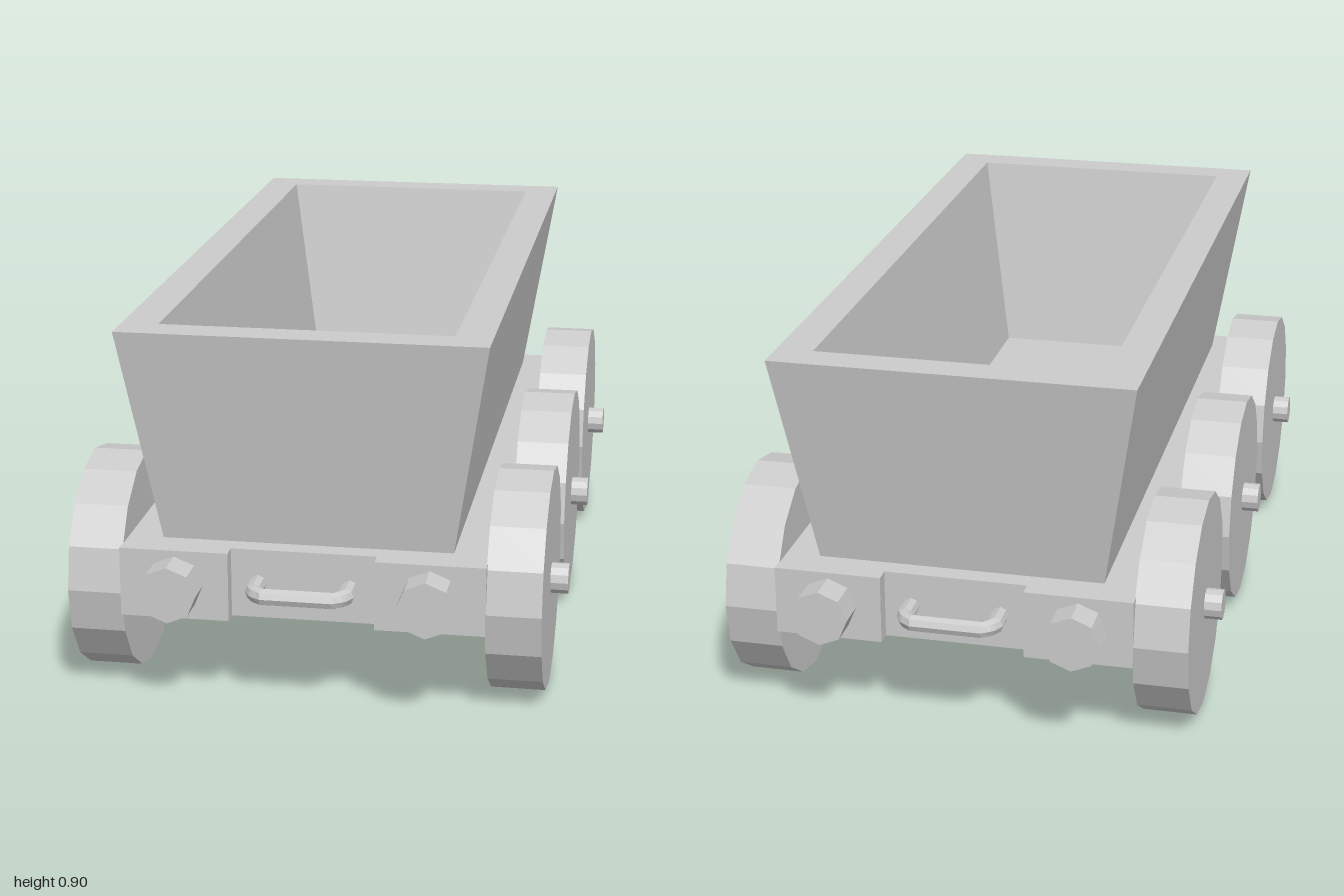
import * as THREE from 'three';

const material = new THREE.MeshStandardMaterial({ color: 0xcccccc, flatShading: true });

function add(parent, name, geometry, x = 0, y = 0, z = 0) {
  const mesh = new THREE.Mesh(geometry, material);
  mesh.name = name;
  mesh.position.set(x, y, z);
  parent.add(mesh);
  return mesh;
}

// Open tub: rectangular rings [halfWidth, y, halfLength] joined up the outside, over the rim and down the inside
function tubGeometry(rings) {
  const positions = [];
  const corner = ([w, y, l], i) => [[w, y, l], [w, y, -l], [-w, y, -l], [-w, y, l]][i % 4];
  const quad = (a, b, c, d) => positions.push(...a, ...b, ...c, ...a, ...c, ...d);
  for (let r = 0; r < rings.length - 1; r++) {
    for (let i = 0; i < 4; i++) {
      quad(corner(rings[r], i), corner(rings[r], i + 1), corner(rings[r + 1], i + 1), corner(rings[r + 1], i));
    }
  }
  const floor = rings[rings.length - 1];
  quad(...[0, 1, 2, 3].map((i) => corner(floor, i)));
  const geometry = new THREE.BufferGeometry();
  geometry.setAttribute('position', new THREE.Float32BufferAttribute(positions, 3));
  geometry.computeVertexNormals();
  return geometry;
}

// Chassis plan with a shallow notch in the middle of each end
function chassisGeometry() {
  const w = 0.43, l = 0.922, n = 0.172, d = 0.885;
  const plan = [[-w, -l], [-n, -l], [-n, -d], [n, -d], [n, -l], [w, -l],
    [w, l], [n, l], [n, d], [-n, d], [-n, l], [-w, l]];
  const shape = new THREE.Shape(plan.map(([x, y]) => new THREE.Vector2(x, y)));
  const geometry = new THREE.ExtrudeGeometry(shape, { depth: 0.167, bevelEnabled: false });
  return geometry.rotateX(-Math.PI / 2);
}

// Bent-bar handle with chamfered corners
function handleGeometry() {
  const points = [[-0.108, 0.87], [-0.108, 0.945], [-0.085, 0.97], [0.085, 0.97], [0.108, 0.945], [0.108, 0.87]]
    .map(([x, z]) => new THREE.Vector3(x, 0, z));
  const path = new THREE.CurvePath();
  for (let i = 0; i < points.length - 1; i++) path.add(new THREE.LineCurve3(points[i], points[i + 1]));
  return new THREE.TubeGeometry(path, 32, 0.02, 8, false);
}

export function createModel() {
  const model = new THREE.Group();
  model.name = 'mineCart';

  add(model, 'chassis', chassisGeometry(), 0, 0.218, 0);
  add(model, 'tub', tubGeometry([
    [0.345, 0.385, 0.835], [0.43, 0.905, 0.923], [0.343, 0.905, 0.837], [0.26, 0.39, 0.753],
  ]));

  // Three axles, each with a pair of wheels
  const axle = new THREE.CylinderGeometry(0.037, 0.037, 1.2, 12).rotateZ(Math.PI / 2);
  const wheel = new THREE.CylinderGeometry(0.268, 0.268, 0.13, 16).rotateZ(Math.PI / 2);
  for (const z of [-0.652, 0, 0.652]) {
    const wheelset = new THREE.Group();
    wheelset.name = 'wheelset';
    wheelset.position.set(0, 0.27, z);
    model.add(wheelset);
    add(wheelset, 'axle', axle);
    add(wheelset, 'leftWheel', wheel, 0.493);
    add(wheelset, 'rightWheel', wheel, -0.493);
  }

  // Buffers and handle, the same at both ends
  const buffer = new THREE.CylinderGeometry(0.068, 0.068, 0.1, 8).rotateX(Math.PI / 2);
  const handle = handleGeometry();
  for (const end of ['front', 'back']) {
    const fittings = new THREE.Group();
    fittings.name = end + 'Fittings';
    fittings.rotation.y = end === 'front' ? 0 : Math.PI;
    model.add(fittings);
    for (const x of [-0.3, 0.3]) add(fittings, 'buffer', buffer, x, 0.303, 0.95);
    add(fittings, 'handle', handle, 0, 0.303, 0);
  }

  return model;
}
